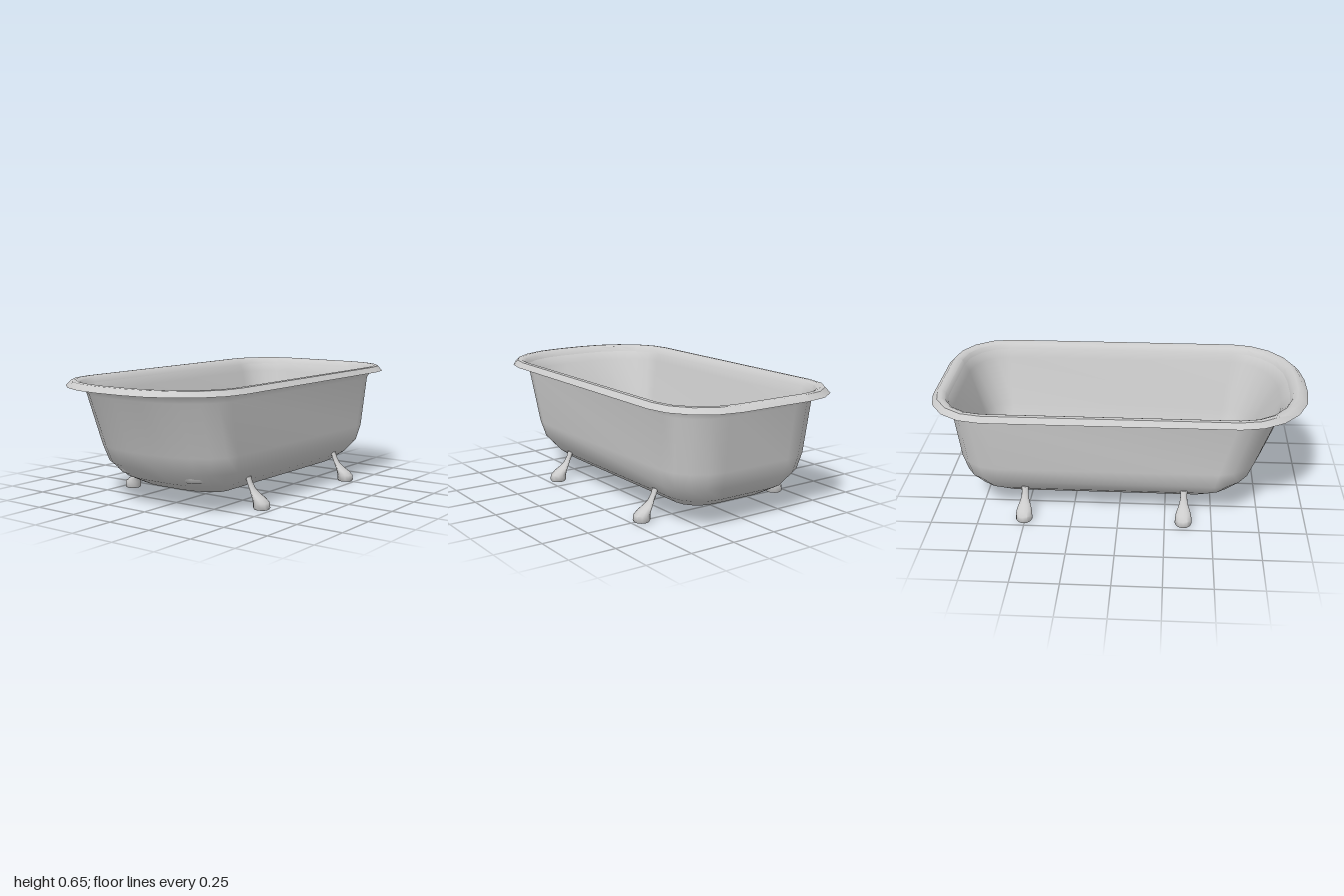
import * as THREE from 'three';
import { toCreasedNormals } from 'three/addons/utils/BufferGeometryUtils.js';

const material = new THREE.MeshStandardMaterial({ color: 0xcccccc, side: THREE.DoubleSide });

// Skins closed rings of [x, y, z] points; rings climb on the outside and descend on the inside.
function loft(rings) {
  const n = rings[0].length;
  const index = [];
  for (let j = 0; j < rings.length - 1; j++) {
    for (let i = 0; i < n; i++) {
      const k = (i + 1) % n;
      const a = j * n + i, b = j * n + k, c = b + n, d = a + n;
      index.push(a, d, c, a, c, b);
    }
  }
  const geometry = new THREE.BufferGeometry();
  geometry.setAttribute('position', new THREE.Float32BufferAttribute(rings.flat(2), 3));
  geometry.setIndex(index);
  geometry.computeVertexNormals();
  return geometry;
}

// Rounded outline: ends xL and xR, half depth z, and the corner centres of each end.
function tubRing([y, xL, xR, z, leftX, leftZ, rightX, rightZ]) {
  const points = [];
  const corner = (cx, cz, rx, rz, start, segments, side) => {
    for (let s = 0; s <= segments; s++) {
      const t = start + (s / segments) * Math.PI / 2;
      points.push([cx + rx * Math.cos(t), y, side * cz + rz * Math.sin(t)]);
    }
  };
  const rR = xR - rightX, rL = leftX - xL;
  corner(rightX, rightZ, rR, z - rightZ, 0, 4, 1);
  corner(leftX, leftZ, rL, z - leftZ, Math.PI / 2, 5, 1);
  corner(leftX, leftZ, rL, z - leftZ, Math.PI, 5, -1);
  corner(rightX, rightZ, rR, z - rightZ, Math.PI * 1.5, 4, -1);
  return points;
}

// A ring shrunk to one point, used to close an end
const closeRing = (ring, x, y, z) => ring.map(() => [x, y, z]);

function addMesh(parent, name, geometry) {
  const mesh = new THREE.Mesh(geometry, material);
  mesh.name = name;
  parent.add(mesh);
  return mesh;
}

export function createModel() {
  const group = new THREE.Group();
  group.name = 'bathtub';

  // Outer shell, from the flat underside up to the flare below the rim
  const shell = [
    [0.064, -0.425, 0.60, 0.173, -0.36, 0.06, 0.52, 0.10],
    [0.086, -0.54, 0.70, 0.275, -0.42, 0.07, 0.57, 0.13],
    [0.137, -0.647, 0.787, 0.345, -0.47, 0.08, 0.61, 0.16],
    [0.21, -0.73, 0.84, 0.405, -0.51, 0.08, 0.64, 0.19],
    [0.30, -0.767, 0.865, 0.428, -0.53, 0.08, 0.65, 0.20],
    [0.58, -0.877, 0.90, 0.443, -0.61, 0.08, 0.69, 0.21],
    [0.622, -0.92, 0.924, 0.465, -0.62, 0.08, 0.69, 0.21],
  ].map(tubRing);
  addMesh(group, 'outerShell', loft([closeRing(shell[0], 0.08, 0.064, 0), ...shell]));

  // Rolled rim: flat underside, bevelled edge, top and inner lip
  const rim = [
    [0.622, -0.92, 0.924, 0.465],
    [0.622, -1, 1, 0.53],
    [0.65, -0.97, 0.972, 0.505],
    [0.652, -0.945, 0.95, 0.485],
    [0.642, -0.92, 0.928, 0.465],
    [0.615, -0.905, 0.915, 0.452],
  ].map((row) => tubRing([...row, -0.62, 0.08, 0.69, 0.21]));
  addMesh(group, 'rim', toCreasedNormals(loft(rim), 0.7));

  // Basin with sloping walls and a small fillet round the floor
  const basin = [
    [0.615, -0.905, 0.915, 0.452, -0.62, 0.08, 0.69, 0.21],
    [0.57, -0.86, 0.89, 0.43, -0.61, 0.08, 0.69, 0.21],
    [0.30, -0.735, 0.825, 0.365, -0.57, 0.15, 0.68, 0.23],
    [0.18, -0.675, 0.775, 0.318, -0.55, 0.20, 0.68, 0.23],
    [0.157, -0.655, 0.755, 0.302, -0.54, 0.20, 0.68, 0.23],
    [0.15, -0.63, 0.73, 0.28, -0.54, 0.20, 0.67, 0.22],
    [0.15, -0.60, 0.70, 0.26, -0.53, 0.19, 0.64, 0.20],
  ].map(tubRing);
  addMesh(group, 'basin', loft([...basin, closeRing(basin[0], 0.05, 0.15, 0)]));

  // Four splayed feet: [height, centre z, half width, half depth]
  const footRows = [
    [0, 0.441, 0.039, 0.040],
    [0.008, 0.441, 0.045, 0.044],
    [0.035, 0.439, 0.044, 0.043],
    [0.055, 0.424, 0.040, 0.033],
    [0.075, 0.403, 0.031, 0.021],
    [0.10, 0.383, 0.021, 0.014],
    [0.13, 0.367, 0.018, 0.013],
    [0.16, 0.356, 0.020, 0.013],
  ];
  const sides = 12;
  for (const x of [-0.35, 0.505]) {
    for (const side of [1, -1]) {
      const rings = footRows.map(([y, z, w, d]) => Array.from({ length: sides }, (_, i) => {
        const t = (i / sides) * Math.PI * 2;
        return [x + w * Math.cos(t), y, side * z + d * Math.sin(t)];
      }));
      rings.unshift(closeRing(rings[0], x, 0, side * 0.441));
      rings.push(closeRing(rings[0], x, 0.165, side * 0.352));
      const name = (side > 0 ? 'front' : 'back') + (x > 0 ? 'Left' : 'Right') + 'Foot';
      addMesh(group, name, toCreasedNormals(loft(rings), 0.9));
    }
  }
  return group;
}
